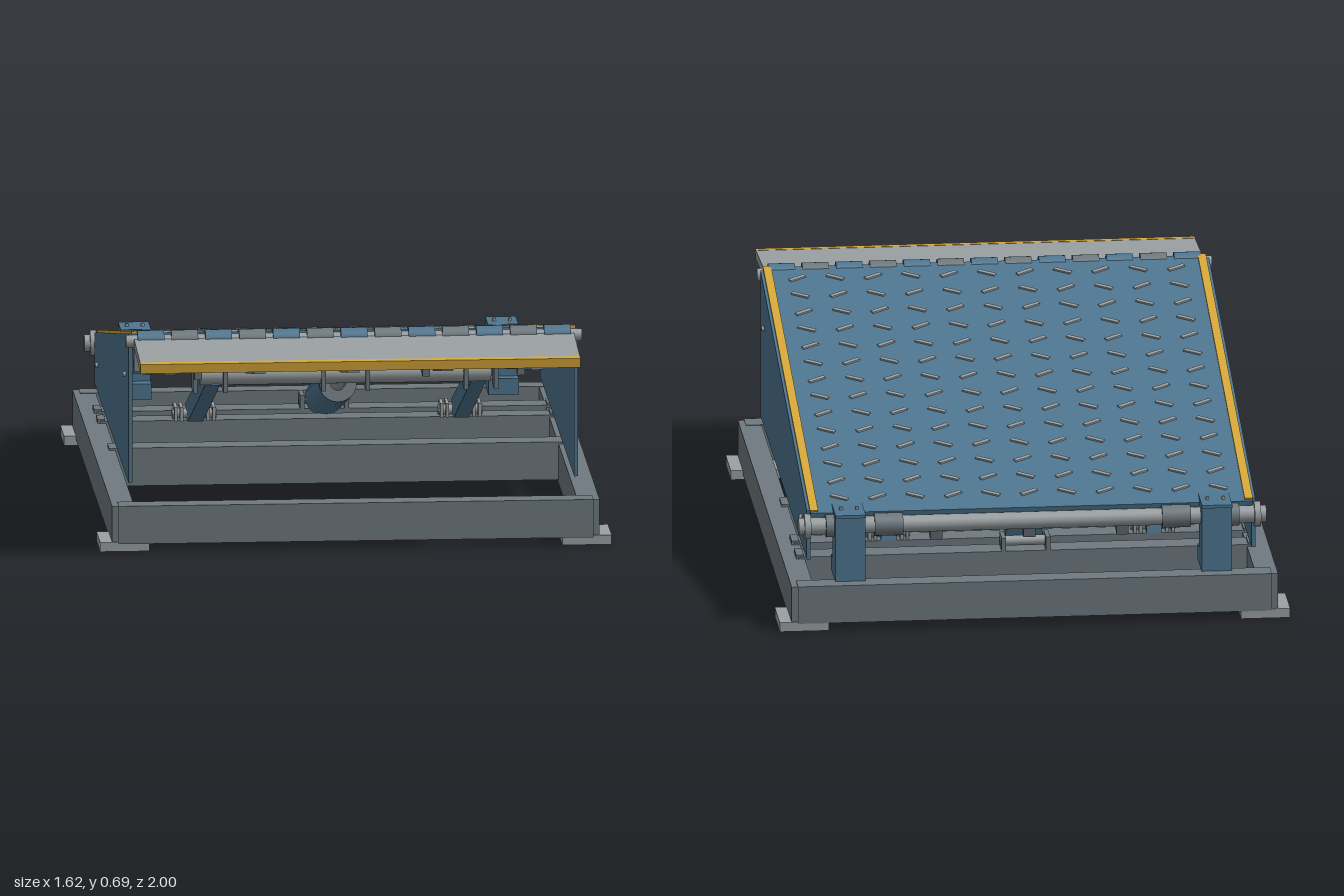
import * as THREE from 'three';

const mat = (color) => new THREE.MeshStandardMaterial({ color });
const BLUE = mat(0x4f7792), GREY = mat(0x6f7a80), LIGHT = mat(0x9ba1a3), YELLOW = mat(0xd9a93a);
const V = (x, y, z) => new THREE.Vector3(x, y, z);

function add(parent, name, geometry, material, x = 0, y = 0, z = 0) {
  const mesh = new THREE.Mesh(geometry, material);
  mesh.name = name;
  mesh.position.set(x, y, z);
  parent.add(mesh);
  return mesh;
}

// Box given by its extents on each axis
function box(parent, name, material, x0, x1, y0, y1, z0, z1) {
  return add(parent, name, new THREE.BoxGeometry(x1 - x0, y1 - y0, z1 - z0), material,
    (x0 + x1) / 2, (y0 + y1) / 2, (z0 + z1) / 2);
}

// Round bar between two points
function bar(parent, name, material, a, b, r) {
  const mesh = add(parent, name, new THREE.CylinderGeometry(r, r, a.distanceTo(b), 24), material);
  mesh.position.copy(a).add(b).multiplyScalar(0.5);
  mesh.quaternion.setFromUnitVectors(V(0, 1, 0), b.clone().sub(a).normalize());
  return mesh;
}
const barX = (parent, name, material, x0, x1, y, z, r) =>
  bar(parent, name, material, V(x0, y, z), V(x1, y, z), r);

// Plate cut from a side profile of [z, y] points, spanning x0..x1
function sidePlate(parent, name, material, points, x0, x1) {
  const shape = new THREE.Shape(points.map(([z, y]) => new THREE.Vector2(-z, y)));
  const g = new THREE.ExtrudeGeometry(shape, { depth: x1 - x0, bevelEnabled: false });
  g.rotateY(Math.PI / 2);
  return add(parent, name, g, material, x0);
}

function buildFrame(root) {
  const g = new THREE.Group();
  g.name = 'baseFrame';
  root.add(g);
  for (const s of [-1, 1]) {
    box(g, 'sideBeam', GREY, s * 0.735 - 0.035, s * 0.735 + 0.035, 0.018, 0.145, -0.995, 0.79);
    for (const z of [-0.915, 0.71])
      box(g, 'footPad', LIGHT, s * 0.73 - 0.078, s * 0.73 + 0.078, 0, 0.03, z - 0.083, z + 0.083);
    for (const z of [-0.66, -0.51])
      box(g, 'beamClip', GREY, s * 0.715 - 0.012, s * 0.715 + 0.012, 0.14, 0.158, z - 0.035, z + 0.035);
  }
  box(g, 'frontBeam', GREY, -0.75, 0.75, 0.025, 0.147, 0.73, 0.8);
  box(g, 'rearBeam', GREY, -0.75, 0.75, 0.025, 0.147, -1, -0.93);
  for (const z of [-0.66, -0.51, -0.1])
    box(g, 'crossBeam', GREY, -0.72, 0.72, 0.03, 0.152, z - 0.04, z + 0.04);
}

function buildRearHinge(root) {
  const g = new THREE.Group();
  g.name = 'rearHinge';
  root.add(g);
  const y = 0.315, z = -0.9;
  barX(g, 'pivotRod', LIGHT, -0.74, 0.74, y, z, 0.027);
  for (const s of [-1, 1]) {
    box(g, 'hingePost', BLUE, s * 0.58 - 0.048, s * 0.58 + 0.048, 0.145, 0.36, -0.955, -0.862);
    box(g, 'postFoot', BLUE, s * 0.58 - 0.048, s * 0.58 + 0.048, 0.145, 0.197, -0.865, -0.82);
    box(g, 'postCap', BLUE, s * 0.58 - 0.048, s * 0.58 + 0.048, 0.357, 0.367, -0.965, -0.835);
    for (const dx of [-0.025, 0.025])
      add(g, 'capBolt', new THREE.CylinderGeometry(0.006, 0.006, 0.012, 10), LIGHT, s * 0.58 + dx, 0.37, z);
    barX(g, 'innerSleeve', GREY, s * 0.455 - 0.045, s * 0.455 + 0.045, y, z, 0.036);
    barX(g, 'outerSleeve', GREY, s * 0.64 - 0.014, s * 0.64 + 0.014, y, z, 0.036);
    barX(g, 'endCollar', LIGHT, s * 0.712 - 0.01, s * 0.712 + 0.01, y, z, 0.04);
  }
}

function buildDeck(root) {
  // Local z runs up the slope, local y is normal to the deck
  const deck = new THREE.Group();
  deck.name = 'deck';
  deck.position.set(0, 0.363, -0.86);
  deck.rotation.x = -Math.atan(0.2077);
  root.add(deck);
  const L = 1.575;
  box(deck, 'deckPlate', BLUE, -0.7, 0.7, -0.025, -0.003, -0.03, L);
  for (const s of [-1, 1])
    box(deck, 'edgeStripe', YELLOW, s * 0.688 - 0.013, s * 0.688 + 0.013, -0.02, 0.002, -0.02, L);

  // Ribs below the plate
  for (const z of [0.16, 0.6, 1.04, 1.48])
    box(deck, 'crossJoist', GREY, -0.69, 0.69, -0.125, -0.02, z - 0.03, z + 0.03);
  for (const x of [-0.58, -0.295, 0, 0.295, 0.58])
    box(deck, 'stringer', GREY, x - 0.019, x + 0.019, -0.138, -0.02, 0.02, L - 0.03);
  box(deck, 'frontHeader', GREY, -0.69, 0.69, -0.06, -0.02, L - 0.035, L - 0.01);

  // Raised tread bars, turned alternately
  const tread = new THREE.BoxGeometry(0.058, 0.007, 0.014);
  for (let row = 0; row < 14; row++)
    for (let col = 0; col < 11; col++) {
      const m = add(deck, 'treadBar', tread, LIGHT, (col - 5) * 0.12, -0.001, 0.065 + row * 0.11);
      m.rotation.y = ((row + col) % 2 ? 1 : -1) * Math.PI / 6;
    }
}

function buildSkirts(root) {
  const profile = [[-0.865, 0.195], [0.67, 0.195], [0.67, 0.675], [-0.865, 0.356]];
  for (const s of [-1, 1]) {
    sidePlate(root, 'sideSkirt', BLUE, profile, s * 0.704 - 0.006, s * 0.704 + 0.006);
    for (const [z, y] of [[0.55, 0.52], [-0.7, 0.285]])
      barX(root, 'skirtBolt', LIGHT, s * 0.713 - 0.006, s * 0.713 + 0.006, y, z, 0.008);
  }
}

function buildLip(root) {
  const y = 0.655, z = 0.69;
  // Alternating hinge knuckles on a pin
  barX(root, 'lipPin', LIGHT, -0.72, 0.72, y, z, 0.02);
  for (let i = 0; i < 13; i++) {
    const x = (i - 6) * 0.107;
    barX(root, 'lipKnuckle', i % 2 ? GREY : BLUE, x - 0.042, x + 0.042, y, z, 0.034);
  }
  const lip = new THREE.Group();
  lip.name = 'lip';
  lip.position.set(0, y, z);
  lip.rotation.x = 0.075;
  root.add(lip);
  box(lip, 'lipPlate', LIGHT, -0.695, 0.695, -0.017, 0.012, 0.02, 0.285);
  box(lip, 'lipEdge', YELLOW, -0.695, 0.695, -0.017, 0.013, 0.285, 0.31);
  for (const x of [-0.51, 0.21, 0.51])
    box(lip, 'lipRib', GREY, x - 0.012, x + 0.012, -0.05, -0.015, 0.03, 0.275);
  bar(root, 'lipArm', GREY, V(0.21, 0.605, 0.76), V(0.21, 0.535, 0.5), 0.012);
}

function buildLift(root) {
  const g = new THREE.Group();
  g.name = 'liftGear';
  root.add(g);
  const top = V(0, 0.46, 0.3);
  barX(g, 'liftTube', LIGHT, -0.46, 0.46, top.y, top.z, 0.032);
  for (const x of [-0.475, -0.38, -0.07, 0.07, 0.38, 0.475])
    box(g, 'tubeLug', GREY, x - 0.007, x + 0.007, 0.41, 0.515, 0.26, 0.34);

  // Side lift arms and their floor brackets
  for (const s of [-1, 1]) {
    const x = s * 0.42;
    sidePlate(g, 'liftArm', BLUE,
      [[-0.55, 0.152], [-0.45, 0.152], [0.32, 0.43], [0.29, 0.488], [-0.54, 0.195]], x - 0.024, x + 0.024);
    for (const dx of [-0.06, -0.042, 0.042, 0.06])
      box(g, 'armBracket', LIGHT, x + dx - 0.005, x + dx + 0.005, 0.15, 0.195, -0.545, -0.465);
    barX(g, 'armPin', LIGHT, x - 0.07, x + 0.07, 0.168, -0.505, 0.016);
  }

  // Central hydraulic cylinder
  const foot = V(0, 0.185, -0.64), neck = V(0, 0.355, -0.04);
  bar(g, 'cylinderBody', BLUE, foot, neck, 0.06);
  bar(g, 'cylinderCap', GREY, neck, V(0, 0.36, -0.022), 0.06);
  bar(g, 'cylinderRod', LIGHT, neck, top, 0.024);
  for (const x of [-0.07, 0.07])
    box(g, 'cylinderBracket', GREY, x - 0.007, x + 0.007, 0.15, 0.195, -0.7, -0.62);
  barX(g, 'cylinderPin', LIGHT, -0.08, 0.08, 0.175, -0.66, 0.016);
}

export function createModel() {
  const root = new THREE.Group();
  root.name = 'loadingRamp';
  buildFrame(root);
  buildRearHinge(root);
  buildDeck(root);
  buildSkirts(root);
  buildLip(root);
  buildLift(root);
  return root;
}
